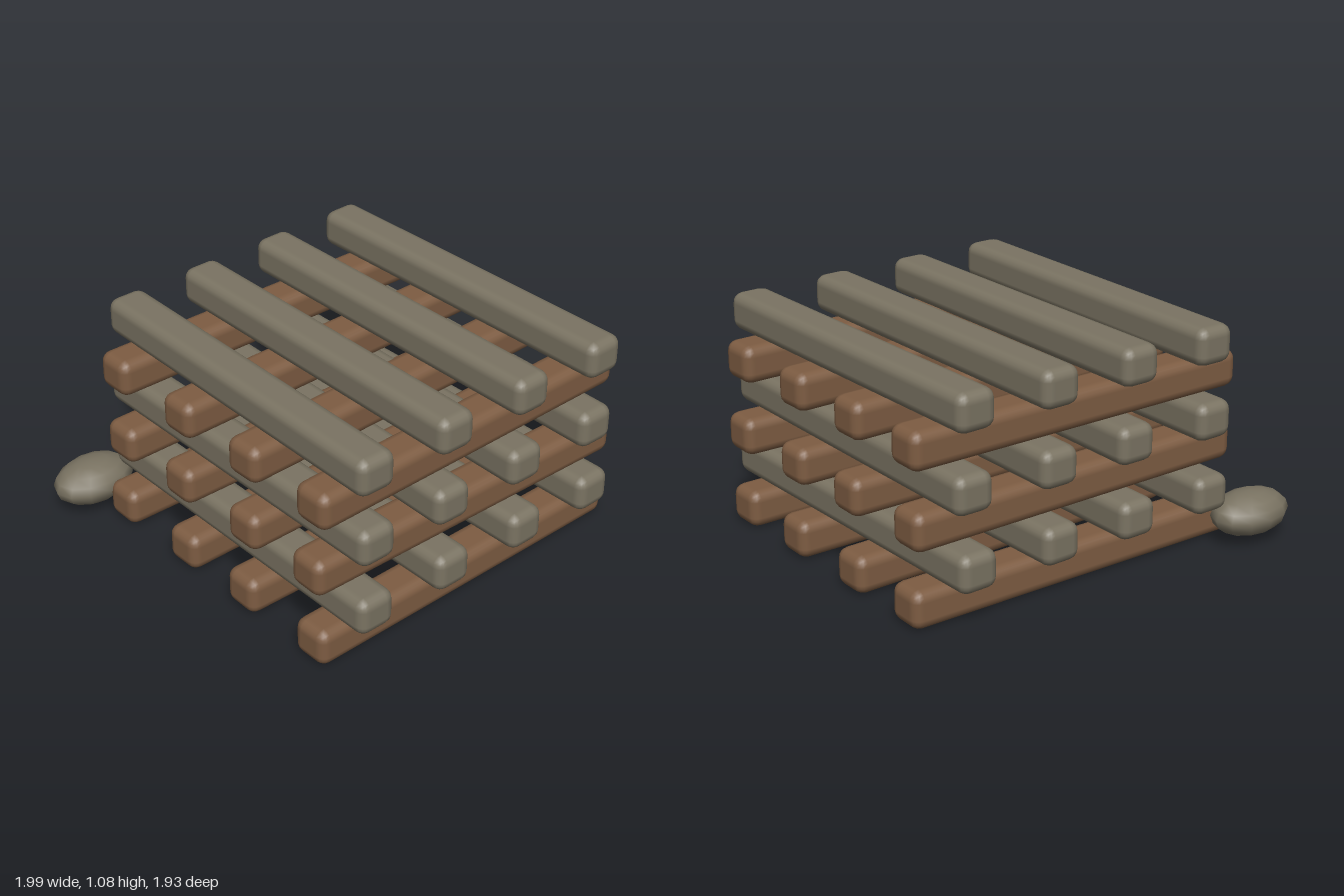
import * as THREE from 'three';
import { RoundedBoxGeometry } from 'three/addons/geometries/RoundedBoxGeometry.js';

const HEIGHT = 0.18, WIDTH = 0.195;

export function createModel() {
  const group = new THREE.Group();
  group.name = 'logStack';
  const brownWood = new THREE.MeshStandardMaterial({ color: 0x7d5c42 });
  brownWood.name = 'brownWood';
  const greyWood = new THREE.MeshStandardMaterial({ color: 0x7a7362 });
  greyWood.name = 'greyWood';

  const crossGeometry = new RoundedBoxGeometry(1.78, HEIGHT, WIDTH, 2, 0.05);
  const longGeometry = new RoundedBoxGeometry(WIDTH, HEIGHT, 1.78, 2, 0.05);

  // Cross beams run along x: per layer, z of the [+x end, -x end]
  const crossLayers = [
    [[0.745, 0.745], [0.315, 0.275], [-0.15, -0.148], [-0.575, -0.615]],
    [[0.76, 0.72], [0.3, 0.295], [-0.13, -0.165], [-0.59, -0.595]],
    [[0.74, 0.752], [0.285, 0.308], [-0.155, -0.145], [-0.582, -0.612]],
  ];
  // Long beams run along z: per layer, x of the [front end, back end]
  const longLayers = [
    [[-0.575, -0.57], [-0.12, -0.125], [0.338, 0.308], [0.782, 0.752]],
    [[-0.572, -0.57], [-0.138, -0.108], [0.31, 0.323], [0.765, 0.775]],
    [[-0.583, -0.555], [-0.13, -0.122], [0.325, 0.32], [0.782, 0.76]],
  ];

  crossLayers.forEach((layer, i) => layer.forEach(([a, b], j) => {
    const beam = new THREE.Mesh(crossGeometry, brownWood);
    beam.name = `crossBeam${i + 1}_${j + 1}`;
    beam.position.set(0.1, 0.095 + i * 0.36, (a + b) / 2);
    beam.rotation.y = Math.atan2(b - a, 1.75);
    group.add(beam);
  }));

  longLayers.forEach((layer, i) => layer.forEach(([a, b], j) => {
    const beam = new THREE.Mesh(longGeometry, greyWood);
    beam.name = `longBeam${i + 1}_${j + 1}`;
    beam.position.set((a + b) / 2, 0.272 + i * 0.36, 0.072);
    beam.rotation.y = Math.atan2(a - b, 1.75);
    group.add(beam);
  }));

  // Flattened stone by the back corner
  const stone = new THREE.Mesh(new THREE.SphereGeometry(1, 12, 8), greyWood);
  stone.name = 'stone';
  stone.scale.set(0.208, 0.105, 0.146);
  stone.position.set(-0.793, 0.142, -0.825);
  group.add(stone);

  return group;
}
